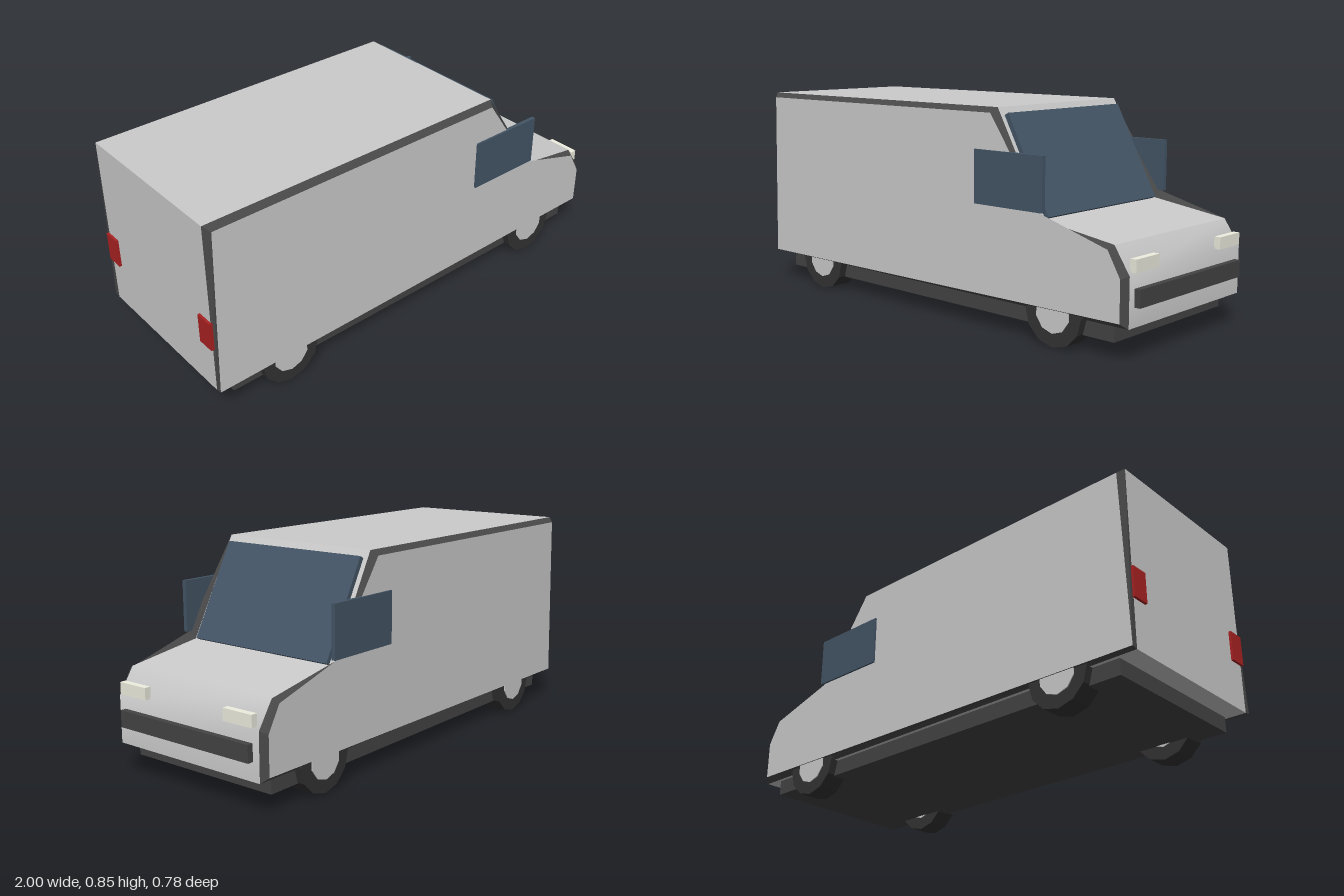
import * as THREE from 'three';
import { toCreasedNormals } from 'three/addons/utils/BufferGeometryUtils.js';

const mat = (color, opts = {}) => new THREE.MeshStandardMaterial({ color, ...opts });

// Skin between two closed profiles lying at two z positions
function loft(a, za, b, zb, crease) {
  const pos = [];
  for (let i = 0; i < a.length; i++) {
    const j = (i + 1) % a.length;
    const p = [...a[i], za], q = [...a[j], za], r = [...b[j], zb], s = [...b[i], zb];
    pos.push(...p, ...r, ...q, ...p, ...s, ...r);
  }
  const g = new THREE.BufferGeometry();
  g.setAttribute('position', new THREE.Float32BufferAttribute(pos, 3));
  return toCreasedNormals(g, crease);
}

export function createModel() {
  const van = new THREE.Group();
  van.name = 'van';

  const paint = mat(0xcccccc, { side: THREE.DoubleSide });
  const trim = mat(0x484848, { side: THREE.DoubleSide });
  const dark = mat(0x444444);
  const rubber = mat(0x333333, { flatShading: true });
  const glass = mat(0x445566);
  const lamp = mat(0xeeeee0);
  const red = mat(0xaa2222);

  const add = (name, geometry, material, parent = van) => {
    const mesh = new THREE.Mesh(geometry, material);
    mesh.name = name;
    parent.add(mesh);
    return mesh;
  };
  // Box given by its limits on each axis
  const box = (name, [x0, x1], [y0, y1], [z0, z1], material) => {
    const mesh = add(name, new THREE.BoxGeometry(x1 - x0, y1 - y0, z1 - z0), material);
    mesh.position.set((x0 + x1) / 2, (y0 + y1) / 2, (z0 + z1) / 2);
    return mesh;
  };

  // Body: full profile across the middle, slightly smaller profile on the side panels
  const middle = [[-0.99, 0.125], [0.976, 0.125], [0.976, 0.31], [0.91, 0.41],
    [0.585, 0.457], [0.37, 0.85], [-0.99, 0.85]];
  const panel = [[-0.99, 0.13], [0.955, 0.145], [0.955, 0.3], [0.9, 0.395],
    [0.6, 0.483], [0.355, 0.83], [-0.968, 0.83]];
  const zMiddle = 0.355, zPanel = 0.38;
  add('bodyShell', loft(middle, zMiddle, middle, -zMiddle, 0.65), paint);
  const sideShape = new THREE.Shape(panel.map(([x, y]) => new THREE.Vector2(x, y)));
  for (const s of [1, -1]) {
    const side = s > 0 ? 'near' : 'far';
    add(side + 'SidePanel', new THREE.ShapeGeometry(sideShape).translate(0, 0, s * zPanel), paint);
    const bevel = s > 0
      ? loft(panel, zPanel, middle, zMiddle, 0.3)
      : loft(middle, -zMiddle, panel, -zPanel, 0.3);
    add(side + 'BodyEdge', bevel, trim);
  }

  // Chassis and bumper
  box('chassis', [-0.91, 0.905], [0.062, 0.14], [-0.34, 0.34], dark);
  box('bumper', [0.965, 1], [0.197, 0.263], [-0.325, 0.325], dark);

  // Windscreen, leaning with the cab front
  const windscreen = add('windscreen', new THREE.BoxGeometry(0.03, 0.415, 0.67), glass);
  windscreen.position.set(0.489, 0.64, 0);
  windscreen.rotation.z = 0.493;

  // Paired side windows and lamps
  for (const s of [1, -1]) {
    const span = (a, b) => (s > 0 ? [a, b] : [-b, -a]);
    const side = s > 0 ? 'near' : 'far';
    box(side + 'SideWindow', [0.28, 0.615], [0.486, 0.692], span(0.372, 0.388), glass);
    box(side + 'Headlight', [0.962, 0.988], [0.32, 0.367], span(0.198, 0.335), lamp);
    box(side + 'TailLight', [-1, -0.98], [0.32, 0.442], span(0.287, 0.36), red);
  }

  // Wheels with hubs
  for (const x of [-0.667, 0.656]) {
    for (const s of [1, -1]) {
      const wheel = new THREE.Group();
      wheel.name = (x > 0 ? 'front' : 'rear') + 'Wheel';
      wheel.position.set(x, 0.13, s * 0.328);
      const tyre = new THREE.CylinderGeometry(0.13, 0.13, 0.09, 12).rotateX(Math.PI / 2);
      const hub = new THREE.CylinderGeometry(0.078, 0.078, 0.098, 10).rotateX(Math.PI / 2);
      add('tyre', tyre, rubber, wheel);
      add('hub', hub, mat(0xcccccc, { flatShading: true }), wheel);
      van.add(wheel);
    }
  }
  return van;
}
